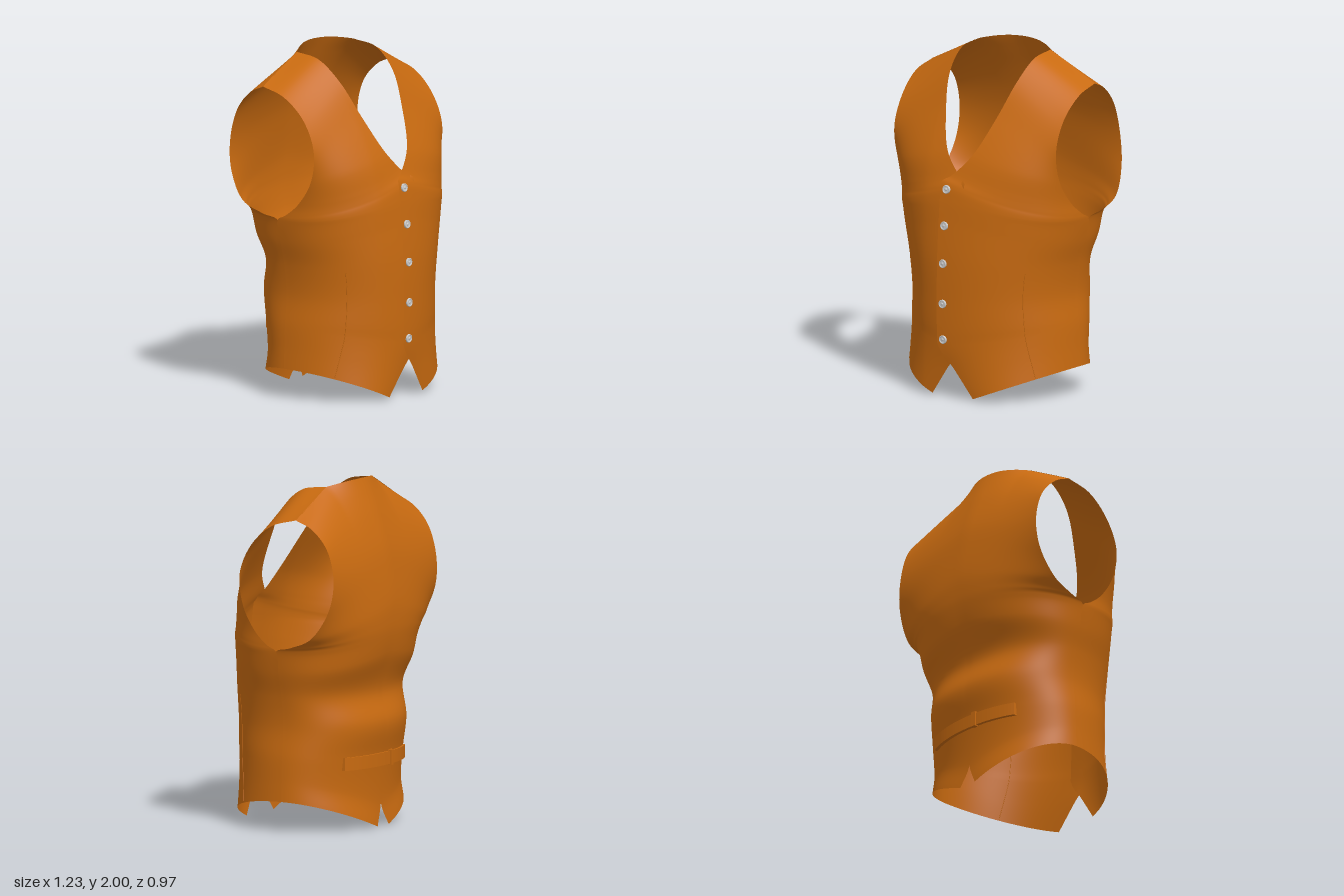
import * as THREE from 'three';
import { mergeGeometries, mergeVertices } from 'three/addons/utils/BufferGeometryUtils.js';

const PLACKET = -0.077; // how far each front reaches past the centre
const SEAM_Z = -0.05;
const cloth = new THREE.MeshStandardMaterial({ color: 0xc86a10, side: THREE.DoubleSide });
const metal = new THREE.MeshStandardMaterial({ color: 0xcccccc });

const { lerp, clamp, smoothstep } = THREE.MathUtils;
const vec = (p) => new THREE.Vector3(...p);
const curveOf = (pts) => new THREE.CatmullRomCurve3(pts, false, 'centripetal');

// Edge lines of the +x half, each from hem to shoulder
const seam = [[0.54, 0.175], [0.535, 0.28], [0.53, 0.42], [0.515, 0.6], [0.535, 0.78], [0.57, 0.92], [0.595, 1.05]]
  .map(([x, y]) => [x, y, SEAM_Z]);
const shoulderTip = [0.575, 1.815, -0.16];
const neckCorner = [0.257, 1.97, -0.17];
const frontArmhole = [[0.595, 1.085, 0.01], [0.585, 1.16, 0.1], [0.575, 1.3, 0.19], [0.575, 1.48, 0.215],
  [0.575, 1.65, 0.14], [0.58, 1.77, 0]];
const backArmhole = [[0.61, 1.08, -0.15], [0.615, 1.14, -0.29], [0.59, 1.3, -0.39], [0.57, 1.48, -0.41],
  [0.565, 1.66, -0.36], [0.57, 1.77, -0.26]];
const closing = [[0.32, 0.473], [0.6, 0.478], [0.82, 0.474], [1.05, 0.458], [1.17, 0.447], [1.26, 0.433]]
  .map(([y, z]) => [PLACKET, y, z]);
const neckline = [[-0.025, 1.295, 0.41], [0.09, 1.42, 0.36], [0.18, 1.63, 0.25], [0.238, 1.83, 0.13], [0.257, 1.945, -0.01]];
const spine = [[0.13, -0.39], [0.4, -0.405], [0.6, -0.435], [0.78, -0.385], [1.0, -0.45], [1.12, -0.472], [1.2, -0.477],
  [1.3, -0.475], [1.45, -0.455], [1.62, -0.42], [1.8, -0.355], [1.92, -0.3], [2.0, -0.26]].map(([y, z]) => [0, y, z]);

const FRONT = {
  face: 1, minX: PLACKET,
  inner: [[0.145, 0.01, 0.43], [0.035, 0.165, 0.45], ...closing, ...neckline, neckCorner],
  outer: [...seam, ...frontArmhole, shoulderTip],
};
const BACK = {
  face: -1, minX: 0,
  inner: [[0.06, 0, -0.405], ...spine], // starts beside the hem notch
  outer: [...seam, ...backArmhole, shoulderTip],
};

// Half panel: rows are superelliptic arcs, cut short where the armhole opens
function halfPanel({ face, minX, inner, outer }, side) {
  const innerLine = curveOf(inner.map(vec)), outerLine = curveOf(outer.map(vec));
  const corner = vec(neckCorner);

  const at = (u, v) => {
    const a = innerLine.getPoint(v), b = outerLine.getPoint(v);
    a.x = Math.max(minX, a.x);
    const power = 2 / (2 + v);
    const cut = v > 0.77 ? 0.85 : clamp((b.z - SEAM_Z) / (a.z - SEAM_Z), 0, 0.85);
    const end = Math.acos(cut ** (1 / power));
    const f = (Math.sin(u * end) / Math.sin(end)) ** power;
    const p = a.clone().lerp(b, f);
    p.z = lerp(a.z, b.z, (1 - Math.cos(u * end) ** power) / (1 - cut));
    if (face < 0 && v > 0.8) { // towards the top the back bends round the neck corner
      const k = 0.45, t = f / k;
      const bent = t < 1 ? a.clone().lerp(corner, t) : corner.clone().lerp(b, (f - k) / (1 - k));
      if (t < 1) {
        bent.y = lerp(a.y, corner.y, t ** 2.2);
        bent.z = lerp(a.z, corner.z, t ** 2);
      }
      p.lerp(bent, ((v - 0.8) / 0.2) ** 2);
    }
    // the right front tucks under the left one
    if (face > 0 && side < 0) p.z -= 0.014 * Math.max(0, 1 - Math.max(0, p.x) / 0.22);
    // the garment hangs slightly to its right, most at the shoulders and the closing
    const rise = smoothstep(v, 0.55, 0.8);
    const innerShift = face > 0 ? -0.028 : lerp(-0.012, -0.025, rise);
    p.x = side * p.x + lerp(innerShift, lerp(-0.008, -0.025, rise), f);
    return p;
  };

  const nu = 36, nv = 104, pos = [], index = [];
  for (let j = 0; j <= nv; j++) {
    for (let i = 0; i <= nu; i++) pos.push(...at(i / nu, j / nv).toArray());
  }
  for (let j = 0; j < nv; j++) {
    for (let i = 0; i < nu; i++) {
      const a = j * (nu + 1) + i, b = a + 1, c = a + nu + 1, d = c + 1;
      if (side * face > 0) index.push(a, b, d, a, d, c);
      else index.push(a, d, b, a, c, d);
    }
  }
  const geometry = new THREE.BufferGeometry();
  geometry.setAttribute('position', new THREE.Float32BufferAttribute(pos, 3));
  geometry.setIndex(index);
  return { geometry, at };
}

function add(parent, name, geometry, material) {
  const mesh = new THREE.Mesh(geometry, material);
  mesh.name = name;
  parent.add(mesh);
  return mesh;
}

function makeButton() {
  const button = new THREE.Group();
  button.name = 'button';
  add(button, 'buttonDisc', new THREE.CylinderGeometry(0.023, 0.025, 0.012, 24).rotateX(Math.PI / 2), metal);
  add(button, 'buttonRim', new THREE.TorusGeometry(0.021, 0.004, 8, 24).translate(0, 0, 0.005), metal);
  add(button, 'buttonCentre', new THREE.SphereGeometry(0.008, 12, 8).scale(1, 1, 0.5).translate(0, 0, 0.006), metal);
  return button;
}

// Strap curved like the back of the waist
function makeStrap() {
  const n = 2.16, outside = [], inside = [];
  for (let k = 0; k <= 36; k++) {
    const x = -0.345 + 0.0185 * k;
    const depth = 0.062 + 0.357 * (1 - Math.abs((x + 0.01) / 0.53) ** n) ** (1 / n);
    outside.push(new THREE.Vector2(x, depth));
    inside.unshift(new THREE.Vector2(x, depth - 0.022));
  }
  const shape = new THREE.Shape([...outside, ...inside]);
  return new THREE.ExtrudeGeometry(shape, { depth: 0.075, bevelEnabled: false }).rotateX(-Math.PI / 2);
}

export function createModel() {
  const vest = new THREE.Group();
  vest.name = 'waistcoat';

  // Front panels with a stitched dart each
  for (const side of [1, -1]) {
    const label = side > 0 ? 'left' : 'right';
    const panel = halfPanel(FRONT, side);
    panel.geometry.computeVertexNormals();
    add(vest, label + 'FrontPanel', panel.geometry, cloth);
    const dart = [];
    for (let k = 0; k <= 10; k++) dart.push(panel.at(0.56, 0.005 + 0.029 * k));
    add(vest, label + 'Dart', new THREE.TubeGeometry(curveOf(dart), 30, 0.0025, 6), cloth);
  }

  // Back panel, both halves joined smoothly at the centre
  const back = mergeVertices(mergeGeometries([1, -1].map((side) => halfPanel(BACK, side).geometry)), 1e-4);
  back.computeVertexNormals();
  add(vest, 'backPanel', back, cloth);

  // Back strap with its loop
  add(vest, 'backStrap', makeStrap(), cloth).position.y = 0.35;
  const loop = add(vest, 'strapLoop', new THREE.BoxGeometry(0.03, 0.09, 0.025), cloth);
  loop.position.set(-0.08, 0.388, -0.414);
  loop.rotation.y = 0.07;

  // Buttons down the closing edge: height, depth and tilt
  for (const [y, z, tilt] of [[1.22, 0.442, -0.13], [1.01, 0.463, -0.09], [0.79, 0.476, -0.03],
    [0.555, 0.479, 0], [0.345, 0.475, 0.04]]) {
    const button = makeButton();
    button.position.set(-0.062, y, z);
    button.rotation.x = tilt;
    vest.add(button);
  }
  return vest;
}
